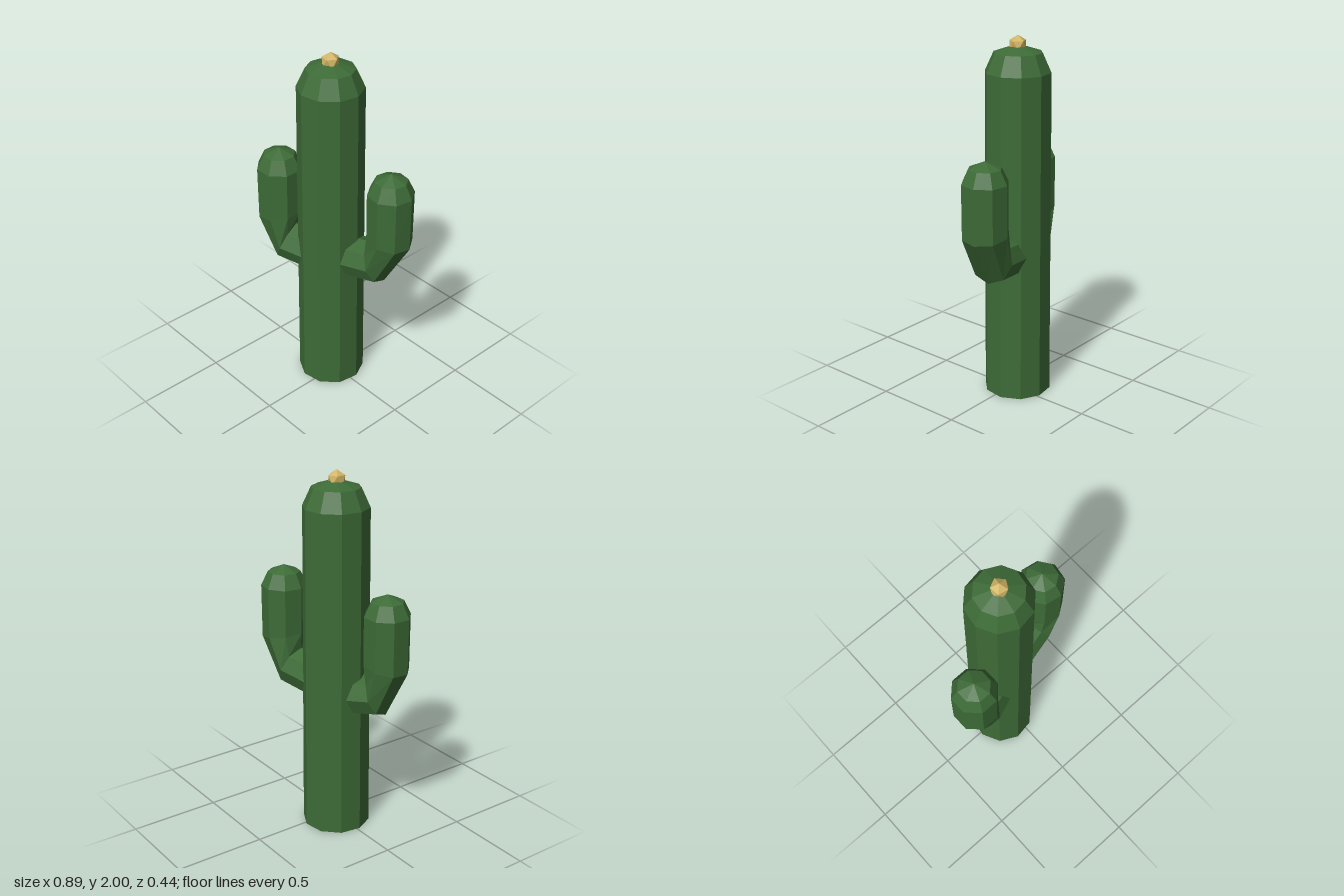
import * as THREE from 'three';

const rad = THREE.MathUtils.degToRad;

// Faceted skin over rings [distance, height, radius, heading in degrees].
// The rings lie in the upright plane through (ox, oz) that points along angle a.
function loft(rings, sides, ox, oz, a) {
  const dx = Math.cos(a), dz = Math.sin(a);
  const pos = [], index = [];
  for (const [dist, y, r, heading = 90] of rings) {
    const n = rad(heading);
    for (let j = 0; j < sides; j++) {
      const t = (j / sides) * Math.PI * 2;
      const out = dist + r * Math.cos(t) * Math.sin(n);
      const side = r * Math.sin(t);
      pos.push(ox + dx * out - dz * side, y - r * Math.cos(t) * Math.cos(n), oz + dz * out + dx * side);
    }
  }
  for (let i = 0; i < rings.length - 1; i++) {
    for (let j = 0; j < sides; j++) {
      const k = (j + 1) % sides;
      const p = i * sides + j, q = i * sides + k;
      const s = p + sides, t = q + sides;
      if (rings[i][2] > 0) index.push(p, s, q);
      if (rings[i + 1][2] > 0) index.push(q, s, t);
    }
  }
  // a ring of zero radius only needs one triangle per side
  const geo = new THREE.BufferGeometry();
  geo.setAttribute('position', new THREE.Float32BufferAttribute(pos, 3));
  geo.setIndex(index);
  const flat = geo.toNonIndexed();
  flat.computeVertexNormals();
  return flat;
}

export function createModel() {
  const group = new THREE.Group();
  const green = new THREE.MeshStandardMaterial({ name: 'cactusGreen', color: 0x3d6b37 });
  const gold = new THREE.MeshStandardMaterial({ name: 'flowerGold', color: 0xd1b464 });
  const add = (name, geo, mat) => {
    const mesh = new THREE.Mesh(geo, mat);
    mesh.name = name;
    group.add(mesh);
  };
  const cx = -0.045, cz = -0.012;

  // Ten-sided trunk with a domed top
  add('trunk', loft([
    [0, 0, 0], [0, 0, 0.186], [0, 1.81, 0.177], [0, 1.912, 0.13], [0, 1.955, 0],
  ], 10, cx, cz, rad(-9)), green);

  // Eight-sided bent arms with domed tips
  const arm = (name, angle, reach, elbow, bendY, tipY) => add(name, loft([
    [0.06, bendY - 0.205, 0, 10],
    [0.06, bendY - 0.205, 0.117, 10],
    [elbow, bendY - 0.173, 0.117, 23],
    [reach, bendY, 0.126, 80],
    [reach, tipY - 0.115, 0.126],
    [reach, tipY - 0.038, 0.089],
    [reach, tipY, 0],
  ], 8, cx, cz, rad(angle)), green);
  arm('leftArm', -13, 0.374, 0.303, 1.03, 1.425);
  arm('rightArm', 157, 0.306, 0.26, 0.992, 1.39);

  // Small faceted flower, one point upwards
  const flower = new THREE.IcosahedronGeometry(0.05, 0);
  flower.rotateX(-Math.atan((1 + Math.sqrt(5)) / 2));
  flower.rotateY(rad(24));
  flower.translate(cx, 1.95, cz + 0.002);
  add('flower', flower, gold);

  return group;
}
